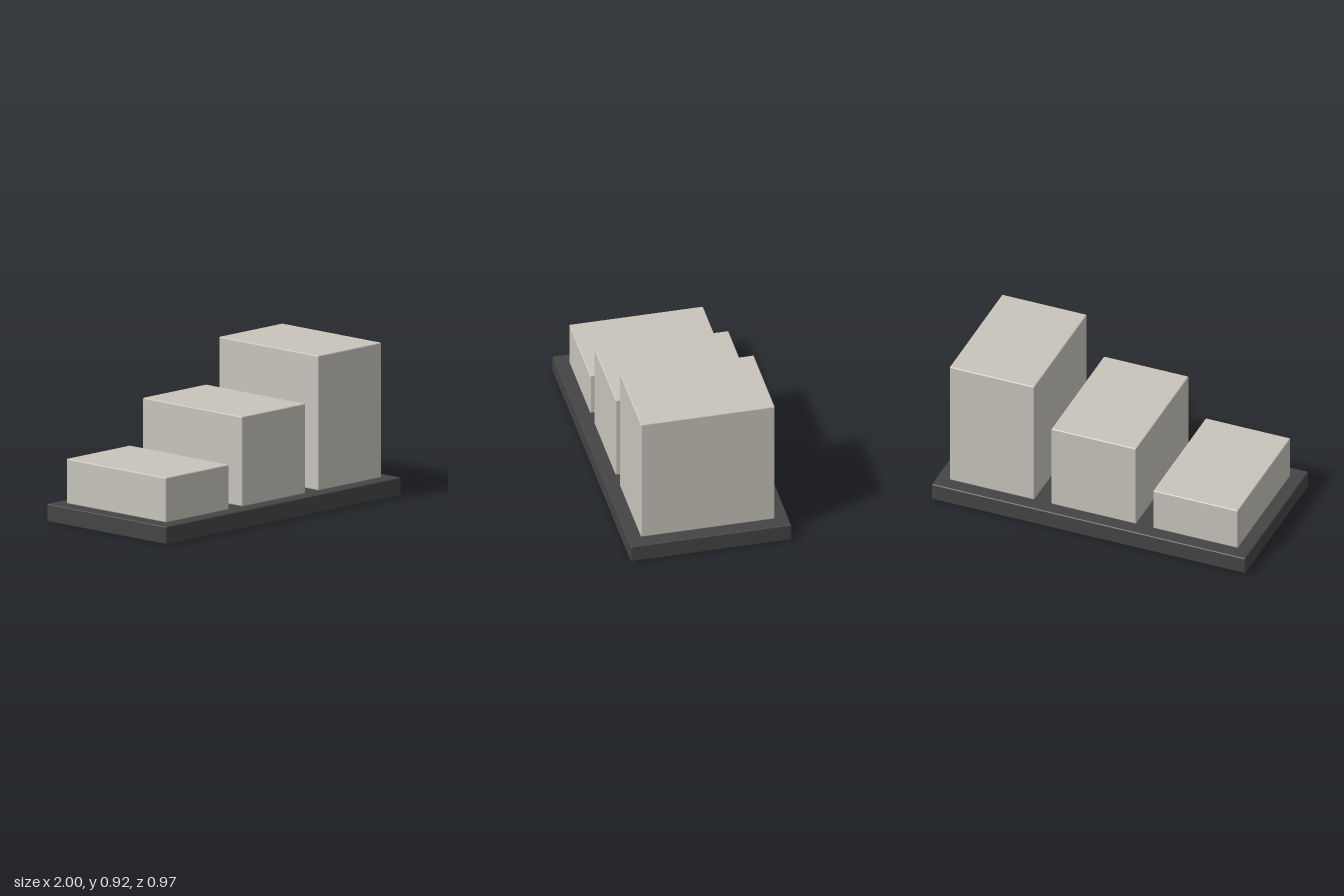
import * as THREE from 'three';
import { RoundedBoxGeometry } from 'three/addons/geometries/RoundedBoxGeometry.js';

const U = 2 / 37; // design unit: the base is 37 units long
const BEVEL = 0.008;

export function createModel() {
  const model = new THREE.Group();
  model.name = 'steppedBlocks';
  const stone = new THREE.MeshStandardMaterial({ name: 'warm grey', color: 0xc8c4bc });
  const dark = new THREE.MeshStandardMaterial({ name: 'charcoal', color: 0x444444 });

  // Softly bevelled box standing on height y
  const addBox = (name, w, h, d, x, y, material) => {
    const mesh = new THREE.Mesh(new RoundedBoxGeometry(w * U, h * U, d * U, 3, BEVEL), material);
    mesh.name = name;
    mesh.position.set(x * U, (y + h / 2) * U, 0);
    model.add(mesh);
  };

  // Base slab
  addBox('base', 37, 2, 18, 0, 0, dark);

  // Three blocks rising towards +x
  ['lowBlock', 'middleBlock', 'tallBlock'].forEach((name, i) => {
    addBox(name, 10, 5 * (i + 1), 15, 12 * (i - 1), 2, stone);
  });

  return model;
}
